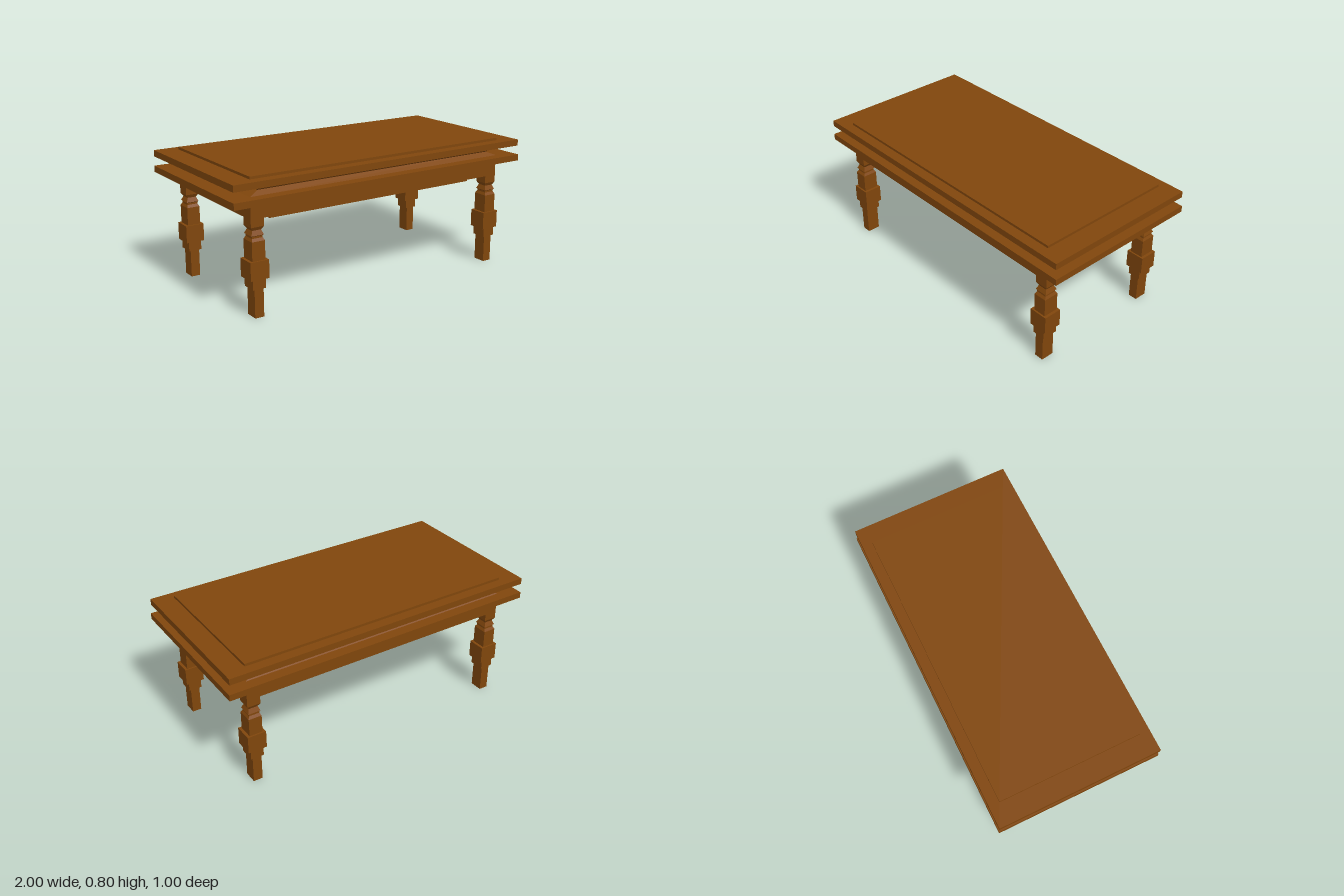
import * as THREE from 'three';

const wood = new THREE.MeshStandardMaterial({ color: 0x80460c, flatShading: true });

// Closed rectangular loft through levels [y, halfX, halfZ], bottom to top.
function loft(levels) {
  const signs = [[1, 1], [1, -1], [-1, -1], [-1, 1]];
  const rings = levels.map(([y, hx, hz]) => signs.map(([sx, sz]) => [sx * hx, y, sz * hz]));
  const pos = [];
  const quad = (a, b, c, d) => pos.push(...a, ...b, ...c, ...a, ...c, ...d);
  for (let i = 0; i < rings.length - 1; i++) {
    const lo = rings[i], hi = rings[i + 1];
    for (let k = 0; k < 4; k++) {
      const n = (k + 1) % 4;
      quad(lo[k], lo[n], hi[n], hi[k]);
    }
  }
  const first = rings[0], last = rings[rings.length - 1];
  quad(first[3], first[2], first[1], first[0]);
  quad(last[0], last[1], last[2], last[3]);
  const geo = new THREE.BufferGeometry();
  geo.setAttribute('position', new THREE.Float32BufferAttribute(pos, 3));
  geo.computeVertexNormals();
  return geo;
}

function part(name, levels) {
  const mesh = new THREE.Mesh(loft(levels), wood);
  mesh.name = name;
  return mesh;
}

const slab = (name, y0, y1, hx, hz) => part(name, [[y0, hx, hz], [y1, hx, hz]]);

// Square leg: plain foot, stepped blocks and a notched neck.
function makeLeg(name) {
  const leg = new THREE.Group();
  leg.name = name;
  leg.add(
    slab('foot', 0, 0.166, 0.028, 0.04),
    slab('lowerCollar', 0.166, 0.222, 0.04, 0.047),
    slab('middleBlock', 0.222, 0.328, 0.057, 0.056),
    part('upperBlock', [[0.328, 0.04, 0.046], [0.437, 0.04, 0.046], [0.453, 0.032, 0.036]]),
    part('neck', [
      [0.453, 0.032, 0.036], [0.464, 0.032, 0.036], [0.468, 0.038, 0.041],
      [0.495, 0.027, 0.029], [0.515, 0.04, 0.04],
    ]),
    slab('topBlock', 0.515, 0.56, 0.04, 0.04),
  );
  return leg;
}

export function createModel() {
  const table = new THREE.Group();
  table.name = 'table';

  // Upper board with a raised panel
  const topBoard = slab('topBoard', 0.742, 0.78, 0.996, 0.497);
  topBoard.position.x = -0.003;
  table.add(topBoard, slab('topPanel', 0.78, 0.795, 0.87, 0.435));

  // Pinched waist between the two boards
  table.add(part('waist', [[0.685, 0.87, 0.435], [0.709, 0.81, 0.406], [0.742, 0.87, 0.435]]));

  // Lower board, apron and the recessed panel beneath
  table.add(
    slab('lowerBoard', 0.647, 0.685, 1, 0.5),
    slab('apron', 0.56, 0.647, 0.87, 0.435),
    slab('underPanel', 0.525, 0.56, 0.71, 0.357),
  );

  // Four legs at the apron corners
  for (const [sx, side] of [[1, 'Left'], [-1, 'Right']]) {
    for (const [sz, end] of [[1, 'front'], [-1, 'back']]) {
      const leg = makeLeg(`${end}${side}Leg`);
      leg.position.set(sx * 0.83, 0, sz * 0.395);
      table.add(leg);
    }
  }
  return table;
}
